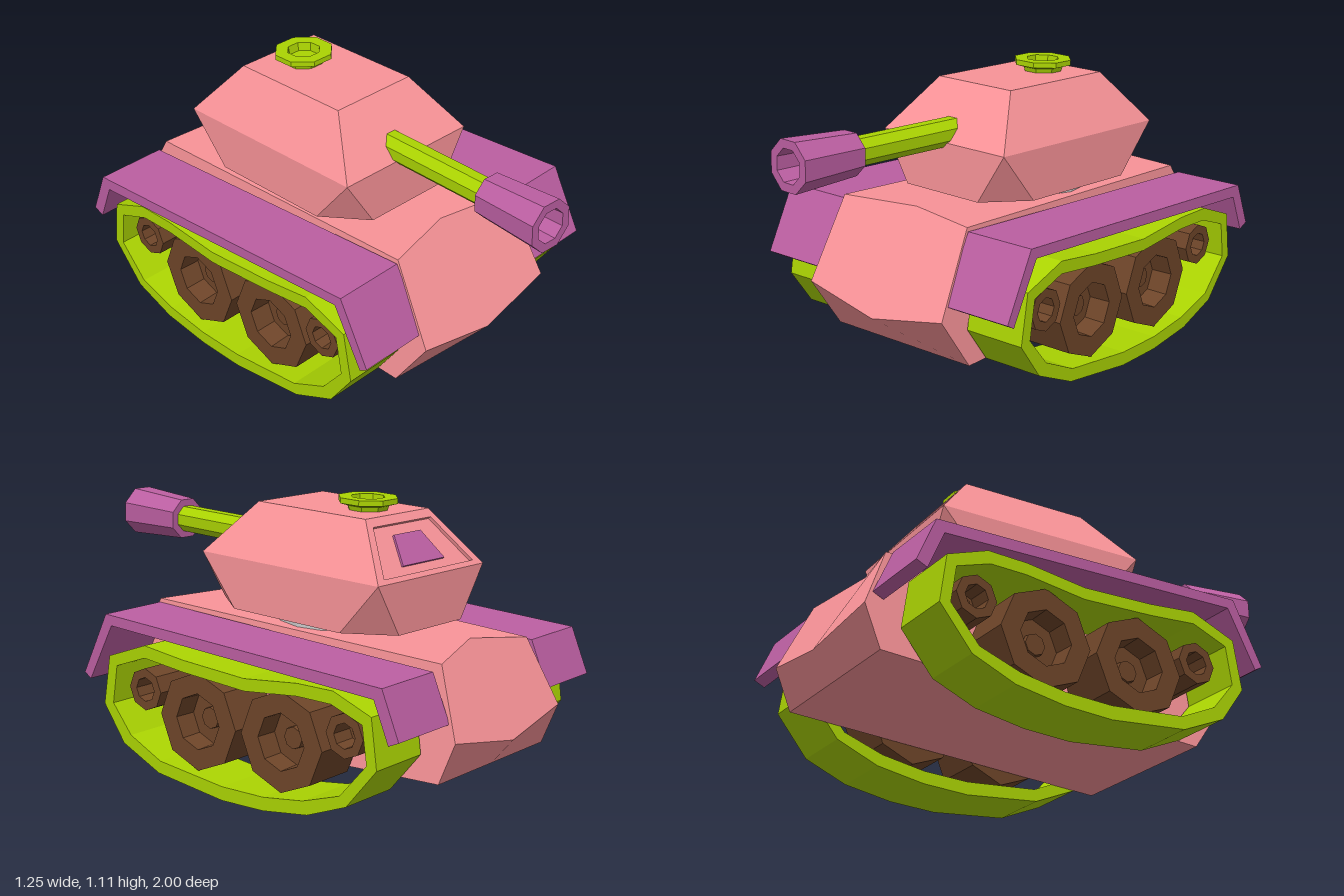
import * as THREE from 'three';

const mat = (color, flatShading = true) => new THREE.MeshStandardMaterial({ color, flatShading });
const PINK = mat(0xf99398, false), PURPLE = mat(0xbc5fa2), GREEN = mat(0xabd402), BROWN = mat(0x6e4529), GREY = mat(0xcccccc);

function add(parent, name, geometry, material) {
  const mesh = new THREE.Mesh(geometry, material);
  mesh.name = name;
  parent.add(mesh);
  return mesh;
}

// Solid from polygons of [x, y, z] corners, each counter-clockwise from outside, one normal per polygon
function polygons(faces) {
  const pos = [], nor = [];
  for (const f of faces) {
    const v = f.map((p) => new THREE.Vector3(...p));
    const n = new THREE.Vector3();
    v.forEach((a, i) => n.add(a.clone().cross(v[(i + 1) % v.length])));
    n.normalize();
    for (let i = 1; i < f.length - 1; i++) {
      pos.push(...f[0], ...f[i], ...f[i + 1]);
      for (let k = 0; k < 3; k++) nor.push(n.x, n.y, n.z);
    }
  }
  const g = new THREE.BufferGeometry();
  g.setAttribute('position', new THREE.Float32BufferAttribute(pos, 3));
  g.setAttribute('normal', new THREE.Float32BufferAttribute(nor, 3));
  return g;
}

// Side profile of [z, y] points, extruded from x0 to x1; a hole runs opposite to the outline
function extrudeX(outline, x0, x1, hole) {
  const toVec = ([z, y]) => new THREE.Vector2(-z, y);
  const shape = new THREE.Shape(outline.map(toVec));
  if (hole) shape.holes.push(new THREE.Path(hole.map(toVec).reverse()));
  const g = new THREE.ExtrudeGeometry(shape, { depth: x1 - x0, bevelEnabled: false });
  return g.rotateY(Math.PI / 2).translate(x0, 0, 0);
}

const lathe = (profile, sides = 8) =>
  new THREE.LatheGeometry(profile.map(([r, y]) => new THREE.Vector2(r, y)), sides);

// Hull: plates that fold along a centre ridge between two mirrored side outlines
function hull() {
  const ridge = [[0, 0.655, 0.42], [0, 0.27, 0.675], [0, 0.12, 0.51], [0, 0.165, -0.91], [0, 0.27, -1], [0, 0.625, -0.8]];
  const left = [[0.32, 0.655, 0.49], [0.345, 0.335, 0.66], [0.345, 0.12, 0.51], [0.345, 0.165, -0.91], [0.345, 0.33, -0.98], [0.28, 0.59, -0.87]];
  const right = left.map(([x, y, z]) => [-x, y, z]);
  const faces = [left, [...right].reverse()];
  for (let i = 0; i < 6; i++) {
    const j = (i + 1) % 6;
    faces.push([ridge[i], right[i], right[j], ridge[j], left[j], left[i]]);
  }
  return polygons(faces);
}

// Running gear of one side: fender, track band and wheels
function runningGear(side) {
  const g = new THREE.Group();
  g.name = side > 0 ? 'leftRunningGear' : 'rightRunningGear';
  const span = (a, b) => (side > 0 ? [a, b] : [-b, -a]);

  const fender = [[0.62, 0.385], [0.49, 0.64], [-0.865, 0.57], [-0.94, 0.39], [-0.895, 0.37], [-0.83, 0.525], [0.46, 0.597], [0.585, 0.365]];
  add(g, 'fender', extrudeX(fender, ...span(0.325, 0.625)), PURPLE);

  const outer = [[0.49, 0.47], [0.295, 0.54], [0.09, 0.515], [-0.22, 0.495], [-0.475, 0.52], [-0.64, 0.52], [-0.81, 0.455], [-0.835, 0.265],
    [-0.7, 0.105], [-0.52, 0.035], [-0.31, 0.005], [-0.105, 0], [0.23, 0.04], [0.42, 0.125], [0.525, 0.27]];
  const inner = [[0.45, 0.435], [0.295, 0.49], [0.09, 0.468], [-0.22, 0.447], [-0.475, 0.472], [-0.63, 0.47], [-0.77, 0.42], [-0.79, 0.275],
    [-0.67, 0.14], [-0.5, 0.085], [-0.31, 0.058], [-0.105, 0.055], [0.22, 0.09], [0.38, 0.165], [0.475, 0.28]];
  add(g, 'track', extrudeX(outer, ...span(0.35, 0.61), inner), GREEN);

  // Wheels with a recessed face and a small hub
  for (const [z, y, r] of [[0.055, 0.27, 0.195], [-0.363, 0.27, 0.195], [0.335, 0.35, 0.085], [-0.66, 0.35, 0.085]]) {
    const profile = [[0, 0.35], [r, 0.35], [r, 0.57], [r * 0.57, 0.57], [r * 0.55, 0.48], [r * 0.23, 0.48], [r * 0.22, 0.5], [0, 0.5]];
    const wheel = add(g, 'wheel', lathe(profile), BROWN);
    wheel.rotation.z = -side * Math.PI / 2;
    wheel.position.set(0, y, z);
  }
  return g;
}

// Turret shell with a recessed rear panel, and the plate inside it
function turret() {
  const g = new THREE.Group();
  g.name = 'turret';
  const signs = [[1, 1], [1, -1], [-1, -1], [-1, 1]];
  const mid = signs.map(([x, z]) => [x * 0.32, 0, z * 0.446]);
  const top = signs.map(([x, z]) => [x * 0.19, 0.207, z * 0.27]);
  // Two lower points per side, so that the corners are cut to triangles
  const low = (k, i) => (i % 2 === 0 ? [mid[k][0], -0.203, top[k][2]] : [top[k][0], -0.203, mid[k][2]]);
  const faces = [top], base = [];
  for (let i = 0; i < 4; i++) {
    const j = (i + 1) % 4;
    const p = low(i, i), q = low(j, i);
    if (i !== 1) faces.push([mid[i], mid[j], top[j], top[i]]);
    faces.push([p, q, mid[j], mid[i]], [low(i, i + 3), p, mid[i]]);
    base.push(p, q);
  }
  faces.push(base.reverse());

  // Point on the sloped rear: s across, t up, sunk inward by d
  const normal = new THREE.Vector3(0, 0.176, -0.207).normalize();
  const rear = (s, t, d) => [
    s * (0.32 - 0.13 * t), 0.207 * t - normal.y * d, -0.446 + 0.176 * t - normal.z * d];
  const quad = (s0, t0, s1, t1, d) => [rear(s0, t0, d), rear(-s0, t0, d), rear(-s1, t1, d), rear(s1, t1, d)];
  const band = (a, b) => a.map((_, k) => [a[k], a[(k + 1) % 4], b[(k + 1) % 4], b[k]]);

  const rim = quad(0.87, 0.08, 0.83, 0.86, 0), floor = quad(0.87, 0.08, 0.83, 0.86, 0.013);
  faces.push(...band(quad(1, 0, 1, 1, 0), rim), ...band(rim, floor), floor);
  add(g, 'turretShell', polygons(faces), PINK);

  const plateBack = quad(0.43, 0.22, 0.35, 0.7, 0.013), plateFace = quad(0.43, 0.22, 0.35, 0.7, 0.004);
  add(g, 'rearPlate', polygons([...band(plateBack, plateFace), plateFace]), PURPLE);

  // Roof hatch with a flared rim and a well
  const hatch = add(g, 'hatch',
    lathe([[0.075, -0.01], [0.085, 0.018], [0.119, 0.028], [0.119, 0.049], [0.067, 0.049], [0.062, 0.015], [0, 0.015]]), GREEN);
  hatch.position.set(0.005, 0.207, -0.128);
  hatch.rotation.y = Math.PI / 8;

  g.position.set(0, 0.859, -0.19);
  g.rotation.set(-0.028, -0.033, 0);
  return g;
}

// Gun: an octagonal barrel with a flared hollow muzzle, aimed along +z
function gun() {
  const g = new THREE.Group();
  g.name = 'gun';
  const along = (geo) => geo.rotateY(Math.PI / 8).rotateX(Math.PI / 2);
  add(g, 'barrel', along(lathe([[0, 0.25], [0.057, 0.25], [0.057, 0.92], [0, 0.92]])), GREEN);
  add(g, 'muzzle', along(lathe([[0, 0.895], [0.088, 0.895], [0.104, 1.187], [0.068, 1.187], [0.062, 0.93]])), PURPLE);
  add(g, 'bore', new THREE.CircleGeometry(0.066, 8).rotateZ(Math.PI / 8).translate(0, 0, 0.935), PINK);
  g.position.set(-0.004, 0.892, -0.19);
  g.rotation.set(-0.025, -0.064, 0);
  return g;
}

export function createModel() {
  const model = new THREE.Group();
  model.name = 'tank';
  add(model, 'hull', hull(), PINK);
  for (const side of [1, -1]) model.add(runningGear(side));
  const ring = add(model, 'turretRing', new THREE.CylinderGeometry(0.27, 0.27, 0.09, 16), GREY);
  ring.position.set(0, 0.636, -0.19);
  ring.rotation.x = -0.028;
  model.add(turret(), gun());
  return model;
}
